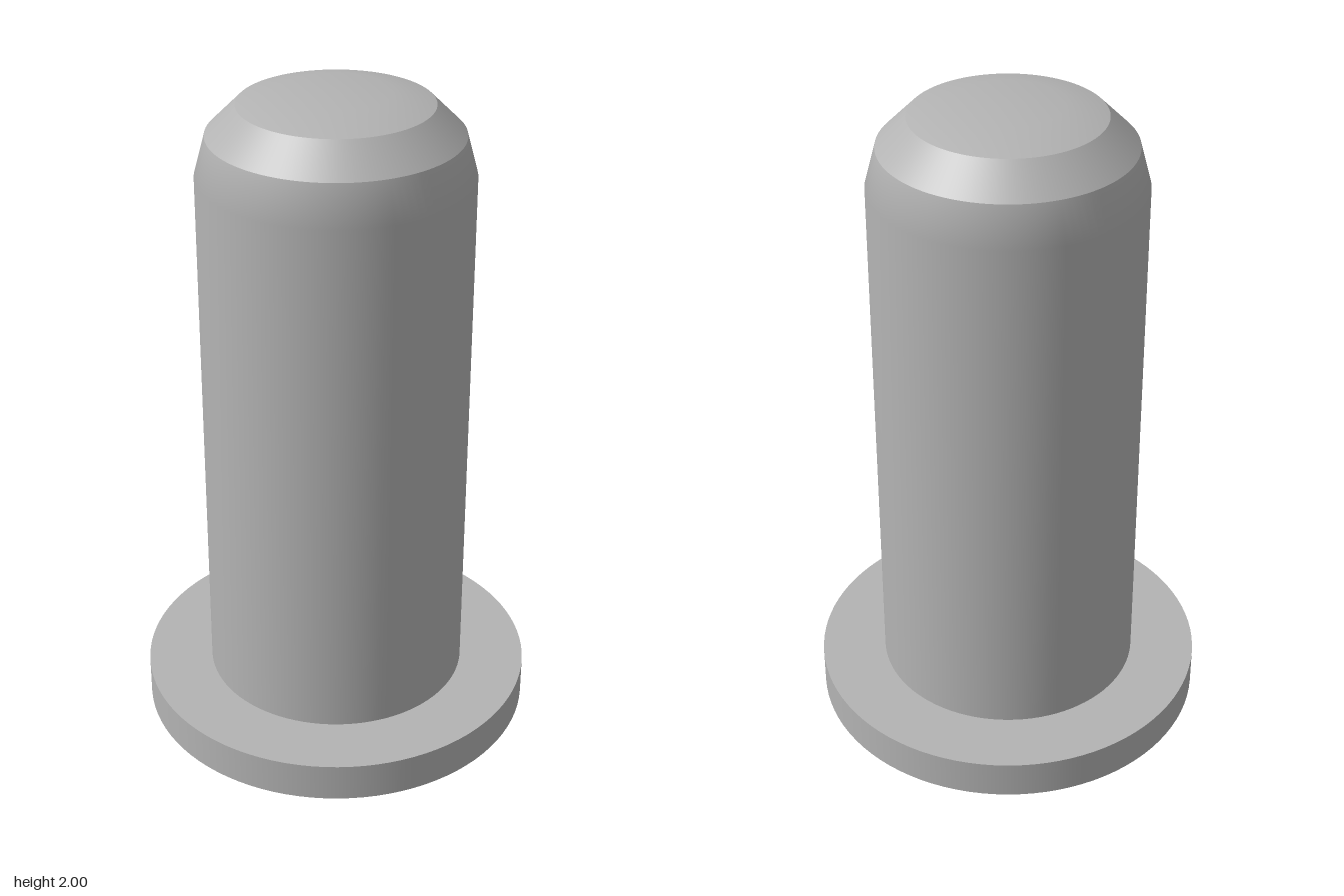
import * as THREE from 'three';

export function createModel() {
  const model = new THREE.Group();
  model.name = 'flangedPin';

  const grey = new THREE.MeshStandardMaterial({ color: 0xb3b3b3 });
  grey.name = 'grey';

  const SEGMENTS = 96;
  const shaftRadius = 0.4, flangeRadius = 0.6, flangeHeight = 0.12;
  const height = 2, rounding = 0.24;

  // Point on the rounded top edge, which is cut into three 30 degree steps
  const edge = (step) => {
    const a = step * Math.PI / 6;
    return [shaftRadius - rounding + rounding * Math.cos(a),
      height - rounding + rounding * Math.sin(a)];
  };

  // Revolve a profile listed from bottom to top
  const revolve = (name, points) => {
    const profile = points.map(([r, y]) => new THREE.Vector2(r, y));
    const mesh = new THREE.Mesh(new THREE.LatheGeometry(profile, SEGMENTS), grey);
    mesh.name = name;
    model.add(mesh);
  };

  // Round base flange
  const flange = new THREE.Mesh(
    new THREE.CylinderGeometry(flangeRadius, flangeRadius, flangeHeight, SEGMENTS), grey);
  flange.name = 'flange';
  flange.position.y = flangeHeight / 2;
  model.add(flange);

  // Shaft, bevel and crown are separate so the creases between them stay sharp
  revolve('shaft', [[shaftRadius, flangeHeight], edge(0), edge(1)]);
  revolve('bevel', [edge(1), edge(2)]);
  revolve('crown', [edge(2), edge(3), [0, height]]);

  return model;
}
